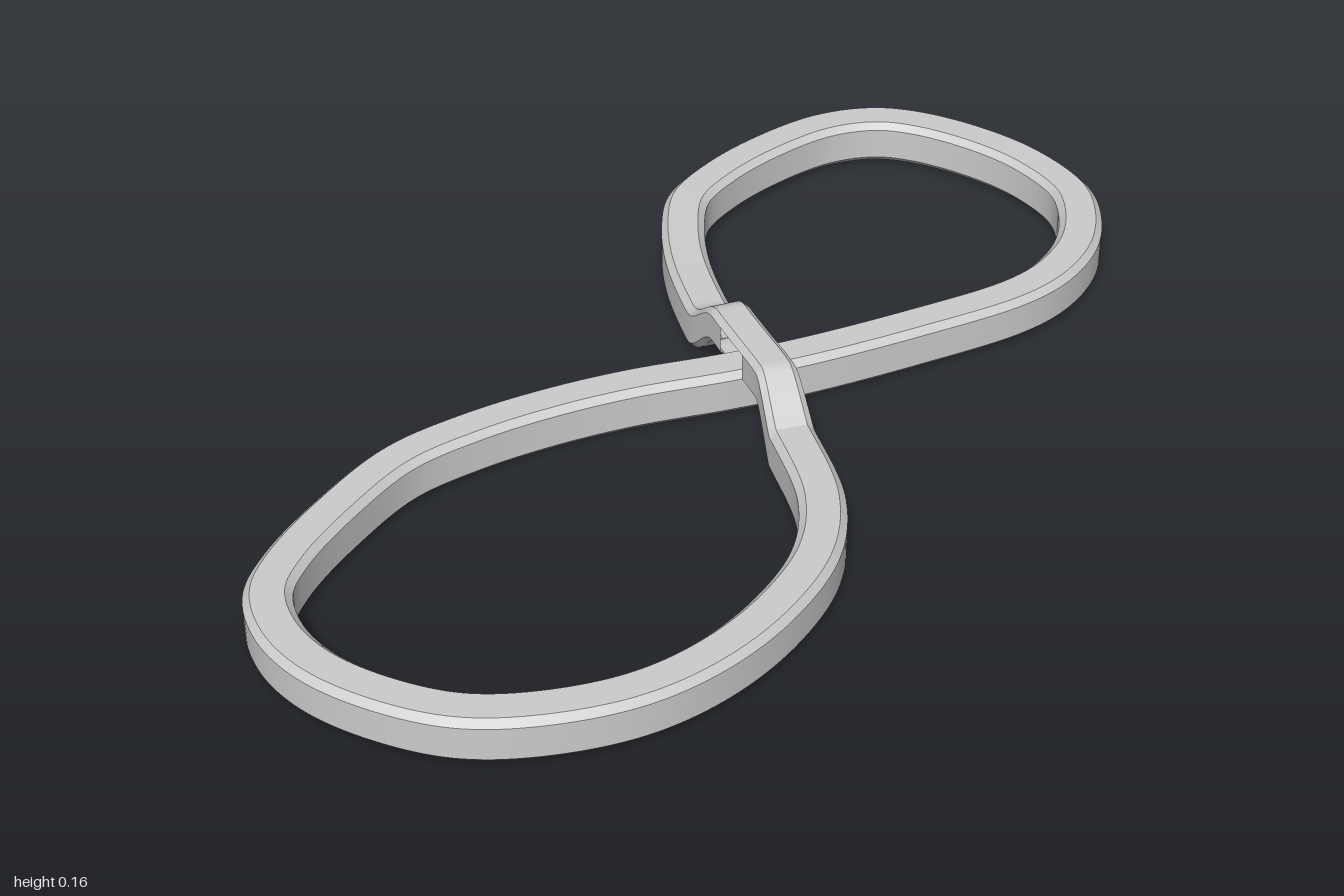
import * as THREE from 'three';
import { toCreasedNormals } from 'three/addons/utils/BufferGeometryUtils.js';

// Centre line of the band seen from above (x, z), a closed figure eight
const PATH = [
  [0.09, -0.02], [0.083, 0.1], [0.065, 0.2], [0.02, 0.4], [-0.06, 0.53], [-0.19, 0.63],
  [-0.34, 0.695], [-0.49, 0.717], [-0.65, 0.69], [-0.77, 0.635], [-0.87, 0.535], [-0.935, 0.425],
  [-0.957, 0.32], [-0.94, 0.22], [-0.88, 0.145], [-0.75, 0.045], [-0.6, -0.04], [-0.45, -0.07],
  [-0.29, -0.077], [-0.13, -0.066], [0.05, -0.035], [0.2, -0.017], [0.43, -0.008], [0.66, -0.014],
  [0.765, -0.045], [0.86, -0.11], [0.925, -0.2], [0.955, -0.29], [0.94, -0.42], [0.89, -0.535],
  [0.805, -0.65], [0.73, -0.705], [0.62, -0.727], [0.465, -0.7], [0.335, -0.65], [0.25, -0.595],
  [0.2, -0.52], [0.15, -0.4], [0.113, -0.24], [0.095, -0.1],
];
const STEPS = 400, HALF = 0.0425, HEIGHT = 0.09, BEVEL = 0.013;

// Square section with bevelled corners: [across, up], starting at the bottom
const SECTION = [
  [-HALF + BEVEL, 0], [HALF - BEVEL, 0], [HALF, BEVEL], [HALF, HEIGHT - BEVEL],
  [HALF - BEVEL, HEIGHT], [-HALF + BEVEL, HEIGHT], [-HALF, HEIGHT - BEVEL], [-HALF, BEVEL],
];

// How far the band has climbed over the crossing: 0 on the floor, 1 on the bridge
function climb(z) {
  if (z >= 0) return THREE.MathUtils.clamp((0.2 - z) / 0.09, 0, 1);
  return THREE.MathUtils.smoothstep(z, -0.23, -0.1);
}

function bandGeometry() {
  const curve = new THREE.CatmullRomCurve3(
    PATH.map(([x, z]) => new THREE.Vector3(x, 0, z)), true, 'centripetal');
  const n = SECTION.length, positions = [], index = [];
  for (let i = 0; i < STEPS; i++) {
    const p = curve.getPointAt(i / STEPS);
    const t = curve.getTangentAt(i / STEPS);
    const onBridge = p.x > 0 && p.x < 0.2 && Math.abs(t.z) > 0.8;
    const k = onBridge ? climb(p.z) : 0;
    // The back loop sits very slightly higher
    const tilt = p.x > 0 ? 0.006 * THREE.MathUtils.smoothstep(-p.z, 0.3, 0.7) : 0;
    for (const [s, y] of SECTION) {
      const across = s * (1 - 0.1 * k);
      const lift = k * THREE.MathUtils.lerp(0.085, 0.07, y / HEIGHT);
      positions.push(p.x + t.z * across, y + lift + tilt, p.z - t.x * across);
    }
    // Above the crossing only the top skin of the bridge remains
    const open = onBridge && p.z > -0.07 && p.z < 0.03;
    const next = (i + 1) % STEPS;
    for (let j = 0; j < n; j++) {
      if (open && (j < 3 || j > 5)) continue;
      const a = i * n + j, b = i * n + (j + 1) % n;
      const c = next * n + j, d = next * n + (j + 1) % n;
      index.push(a, b, c, b, d, c);
    }
  }
  const geometry = new THREE.BufferGeometry();
  geometry.setAttribute('position', new THREE.Float32BufferAttribute(positions, 3));
  geometry.setIndex(index);
  return toCreasedNormals(geometry, 0.5);
}

export function createModel() {
  const group = new THREE.Group();
  group.name = 'figureEightLoop';
  const material = new THREE.MeshStandardMaterial({ color: 0xcccccc, side: THREE.DoubleSide });
  const band = new THREE.Mesh(bandGeometry(), material);
  band.name = 'loopBand';
  group.add(band);
  return group;
}
